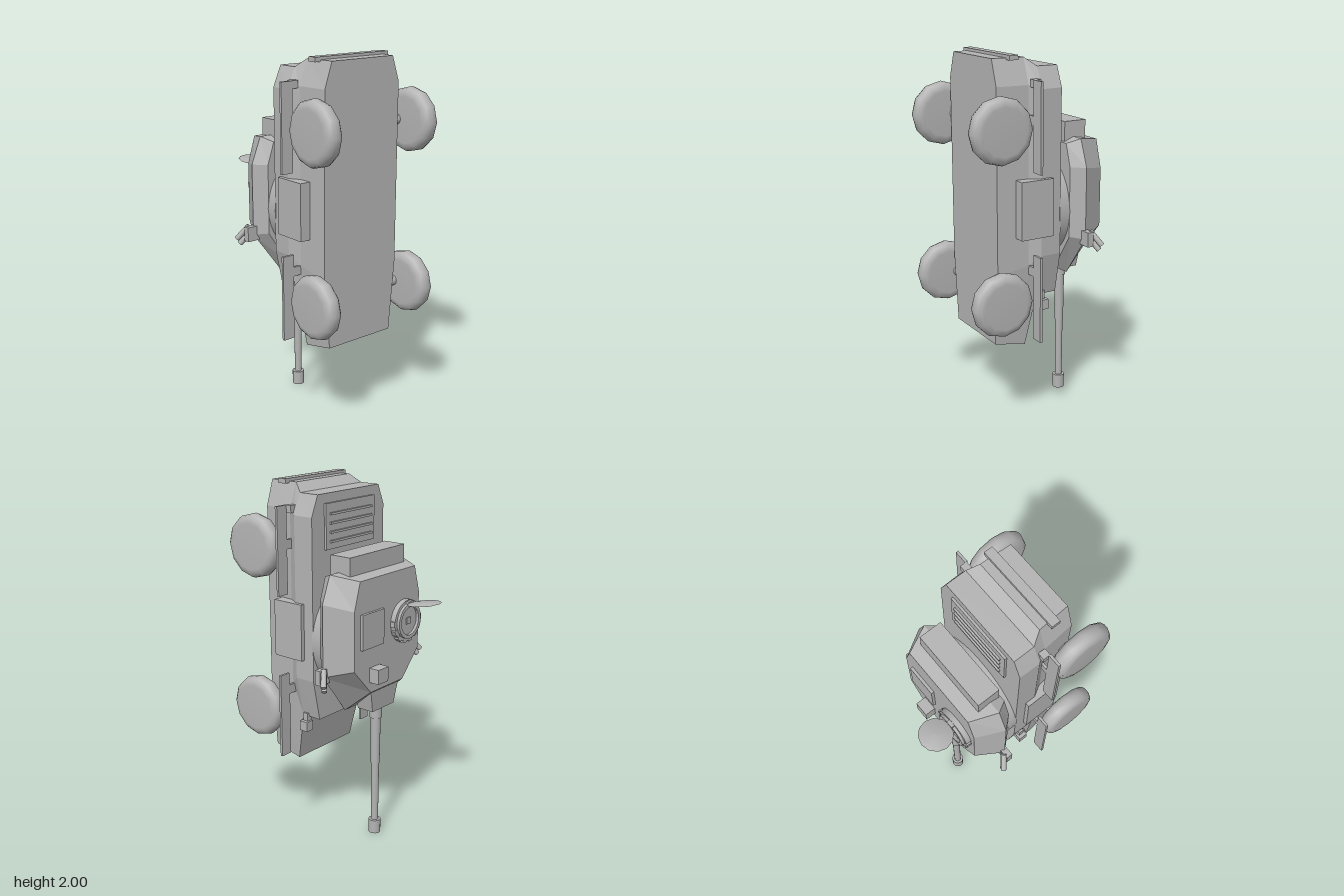
import * as THREE from 'three';

const grey = new THREE.MeshStandardMaterial({ color: 0xb4b4b4 });
grey.name = 'plainGrey';

// Armoured car standing on its nose: nose towards -y, belly towards +z, roof towards -z.
export function createModel() {
  const root = new THREE.Group();
  root.name = 'armouredCar';

  const add = (name, geometry, x = 0, y = 0, z = 0, parent = root) => {
    const mesh = new THREE.Mesh(geometry, grey);
    mesh.name = name;
    mesh.position.set(x, y, z);
    parent.add(mesh);
    return mesh;
  };
  // Box given by its extents
  const box = (name, x0, x1, y0, y1, z0, z1) =>
    add(name, new THREE.BoxGeometry(x1 - x0, y1 - y0, z1 - z0), (x0 + x1) / 2, (y0 + y1) / 2, (z0 + z1) / 2);
  // Upright cylinder between two heights
  const rod = (name, rTop, rBottom, y0, y1, z, sides = 16) =>
    add(name, new THREE.CylinderGeometry(rTop, rBottom, y1 - y0, sides), 0, (y0 + y1) / 2, z);
  // Disc or drum with its axis along z
  const drum = (name, r, z0, z1, x, y, sides = 24) => {
    const mesh = add(name, new THREE.CylinderGeometry(r, r, z1 - z0, sides), x, y, (z0 + z1) / 2);
    mesh.rotation.x = Math.PI / 2;
    return mesh;
  };

  // Flat-faced loft of octagons; level: [z, yFront, wFront, yFrontSide, yRearSide, w, yRear, wRear]
  const loft = (levels) => {
    const rings = levels.map(([z, yf, wf, ys, yr, w, ye, we]) => {
      const half = [[wf, yf], [w, ys], [w, yr], [we, ye]];
      const mirrored = half.map(([x, y]) => [-x, y]).reverse();
      return [...half, ...mirrored].map(([x, y]) => [x, y, z]);
    });
    const out = [];
    const tri = (...corners) => corners.forEach((c) => out.push(...c));
    const last = rings[rings.length - 1];
    for (let j = 1; j < 7; j++) {
      tri(rings[0][0], rings[0][j], rings[0][j + 1]);
      tri(last[0], last[j + 1], last[j]);
    }
    for (let i = 0; i < rings.length - 1; i++) {
      for (let j = 0; j < 8; j++) {
        const k = (j + 1) % 8;
        const a = rings[i][j], b = rings[i][k], c = rings[i + 1][k], d = rings[i + 1][j];
        tri(a, d, b);
        tri(b, d, c);
      }
    }
    const geometry = new THREE.BufferGeometry();
    geometry.setAttribute('position', new THREE.Float32BufferAttribute(out, 3));
    geometry.computeVertexNormals();
    return geometry;
  };

  // Hull, from belly to deck
  add('hull', loft([
    [0.325, 0.47, 0.215, 0.86, 1.85, 0.25, 1.985, 0.205],
    [0.147, 0.435, 0.225, 0.9, 1.85, 0.265, 1.985, 0.215],
    [0.088, 0.72, 0.25, 0.95, 1.83, 0.3, 1.94, 0.25],
    [-0.03, 0.72, 0.25, 0.95, 1.83, 0.297, 1.94, 0.25],
  ]));
  box('rearBumper', -0.245, 0.245, 1.975, 2, 0.195, 0.245);
  box('visionPlate', -0.1, 0.1, 0.69, 0.73, 0.055, 0.09);

  // Engine deck grille
  box('engineDeck', -0.2, 0.2, 1.65, 1.89, -0.043, -0.025);
  for (let i = 0; i < 4; i++) {
    const y = 1.835 - i * 0.048;
    box('deckSlat', -0.17, 0.17, y - 0.006, y + 0.006, -0.054, -0.04);
  }

  // Wheels: rounded twelve-sided tyres
  const tyre = new THREE.LatheGeometry([
    [0, -0.05], [0.125, -0.05], [0.15, -0.044], [0.166, -0.03], [0.173, -0.01],
    [0.173, 0.01], [0.166, 0.03], [0.15, 0.044], [0.125, 0.05], [0, 0.05],
  ].map(([r, y]) => new THREE.Vector2(r, y)), 12);

  for (const s of [1, -1]) {
    const sideBox = (name, x0, x1, ...rest) =>
      box(name, Math.min(s * x0, s * x1), Math.max(s * x0, s * x1), ...rest);

    for (const y of [0.737, 1.645]) {
      add('wheel', tyre, s * 0.325, y, 0.343).rotation.z = Math.PI / 2;
      const axle = add('axle', new THREE.CylinderGeometry(0.03, 0.03, 0.12, 12), s * 0.24, y, 0.29);
      axle.rotation.z = Math.PI / 2;
    }
    sideBox('rearFender', 0.31, 0.38, 1.41, 1.88, 0.131, 0.145);
    sideBox('frontFender', 0.31, 0.38, 0.5, 0.97, 0.131, 0.145);
    for (const y of [0.85, 1.65]) sideBox('fenderBracket', 0.25, 0.312, y, y + 0.05, 0.131, 0.145);
    sideBox('sidePanel', 0.26, 0.322, 1.06, 1.37, 0.03, 0.22);
    sideBox('tailLight', 0.27, 0.31, 1.84, 1.88, 0.1, 0.14);
    sideBox('headlight', 0.235, 0.285, 0.64, 0.695, 0.033, 0.085);
    sideBox('headlightMount', 0.235, 0.265, 0.69, 0.74, 0.045, 0.075);

    // Smoke launchers on the turret sides
    sideBox('launcherBracket', 0.33, 0.403, 0.99, 1.07, -0.17, -0.135);
    const aim = new THREE.Vector3(s * 0.06, -0.085, -0.05).normalize();
    for (const k of [0, 1]) {
      const tube = add('smokeLauncher', new THREE.CylinderGeometry(0.015, 0.015, 0.1, 12),
        s * (0.385 + k * 0.014), 1.005 + k * 0.028, -0.182 - k * 0.008);
      tube.quaternion.setFromUnitVectors(new THREE.Vector3(0, 1, 0), aim);
    }
  }

  // Turret
  drum('turretRing', 0.302, -0.09, -0.025, 0, 1.17, 40);
  add('turret', loft([
    [-0.085, 0.82, 0.16, 1.03, 1.41, 0.3, 1.53, 0.26],
    [-0.15, 0.785, 0.18, 1.02, 1.41, 0.358, 1.555, 0.3],
    [-0.295, 0.91, 0.14, 1.06, 1.38, 0.28, 1.53, 0.235],
  ]));
  box('stowageBin', -0.23, 0.23, 1.5, 1.64, -0.225, -0.095);

  // Gun mantlet tapering towards the barrel
  const mantlet = new THREE.BoxGeometry(0.26, 0.17, 0.125);
  const p = mantlet.attributes.position;
  for (let i = 0; i < p.count; i++) {
    if (p.getY(i) < 0) p.setXYZ(i, p.getX(i) * 0.72, p.getY(i), p.getZ(i) * 0.8);
  }
  mantlet.computeVertexNormals();
  add('mantlet', mantlet, 0, 0.862, -0.222);
  rod('barrelCollar', 0.035, 0.035, 0.71, 0.785, -0.222);
  rod('barrelSleeve', 0.028, 0.025, 0.43, 0.72, -0.222);
  rod('barrel', 0.022, 0.02, 0.07, 0.44, -0.222);
  rod('muzzle', 0.034, 0.034, 0, 0.08, -0.222);

  // Commander's cupola with an open lid and vision blocks
  const cx = -0.14, cy = 1.25;
  drum('cupolaBase', 0.115, -0.325, -0.29, cx, cy);
  const rim = new THREE.Shape().absarc(0, 0, 0.098, 0, Math.PI * 2);
  rim.holes.push(new THREE.Path().absarc(0, 0, 0.078, 0, Math.PI * 2, true));
  add('cupolaRim', new THREE.ExtrudeGeometry(rim, { depth: 0.02, bevelEnabled: false, curveSegments: 12 }),
    cx, cy, -0.341);
  box('cupolaSeat', cx - 0.018, cx + 0.018, cy - 0.018, cy + 0.018, -0.332, -0.32);
  for (let i = 0; i < 8; i++) {
    const a = Math.PI * (1 + i / 7);
    const block = add('visionBlock', new THREE.BoxGeometry(0.022, 0.03, 0.026),
      cx + Math.cos(a) * 0.111, cy + Math.sin(a) * 0.111, -0.313);
    block.rotation.z = a;
  }
  const lid = new THREE.LatheGeometry([[0, -0.012], [0.05, -0.009], [0.092, 0], [0, 0.005]]
    .map(([r, y]) => new THREE.Vector2(r, y)), 12);
  add('cupolaLid', lid, cx, 1.362, -0.43).rotation.x = 0.12;
  box('lidHinge', cx - 0.02, cx + 0.02, 1.335, 1.36, -0.345, -0.32);

  // Second hatch and sight
  box('loaderHatch', 0.05, 0.23, 1.165, 1.355, -0.311, -0.29);
  box('sight', 0.068, 0.153, 0.97, 1.05, -0.355, -0.29);

  return root;
}
